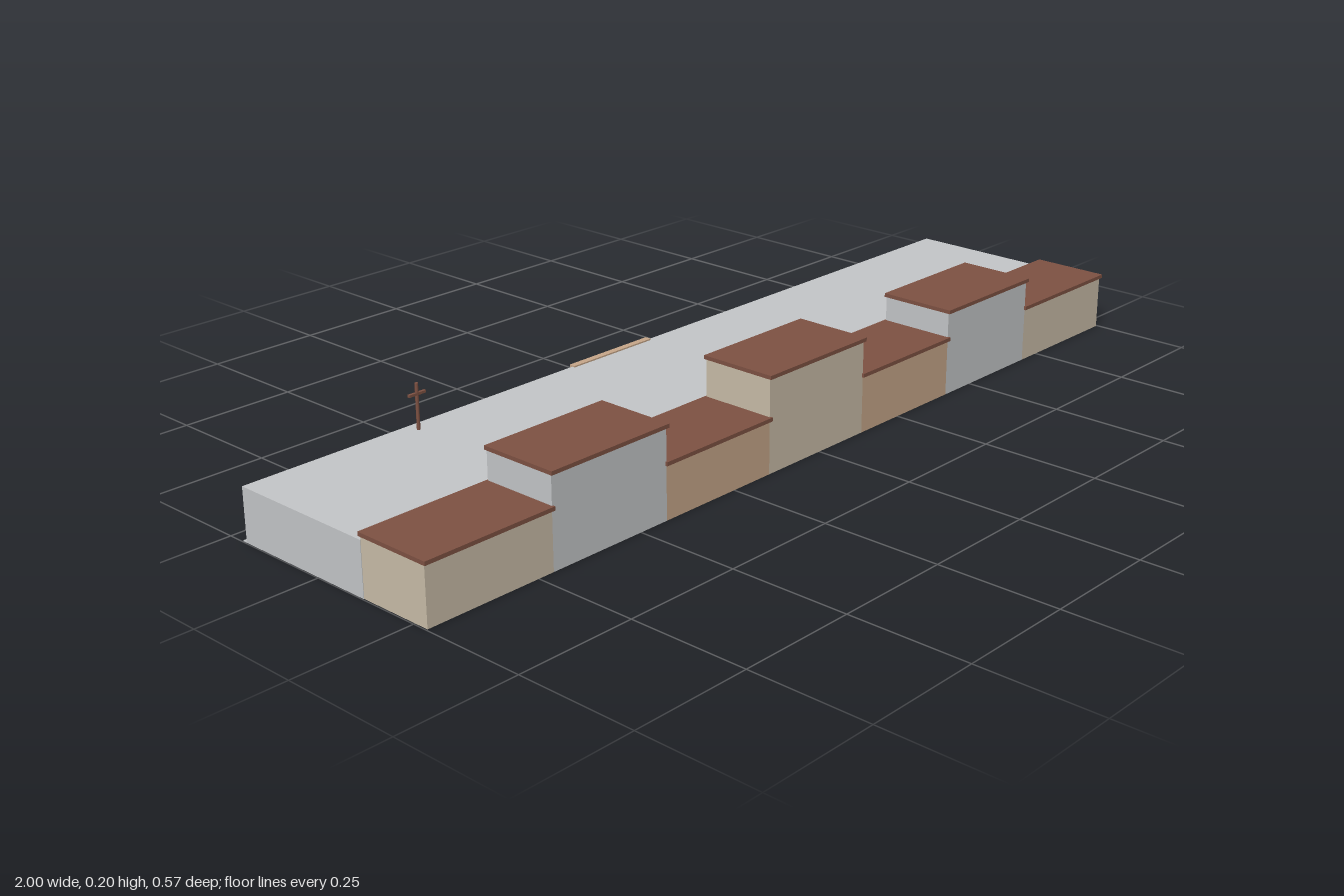
import * as THREE from 'three';

const mat = (name, color) => {
  const m = new THREE.MeshStandardMaterial({ color });
  m.name = name;
  return m;
};

export function createModel() {
  const grey = mat('grey plaster', 0xc5c7c9);
  const beige = mat('beige plaster', 0xcabea9);
  const ochre = mat('ochre plaster', 0xc8a88a);
  const brown = mat('brown tile and timber', 0x7f5243);
  const green = mat('green paint', 0x3f6b45);

  const model = new THREE.Group();
  model.name = 'courtyardBuilding';

  // box given by its minimum and maximum corners
  const box = (name, m, x0, x1, y0, y1, z0, z1, parent = model) => {
    const mesh = new THREE.Mesh(new THREE.BoxGeometry(x1 - x0, y1 - y0, z1 - z0), m);
    mesh.position.set((x0 + x1) / 2, (y0 + y1) / 2, (z0 + z1) / 2);
    mesh.name = name;
    parent.add(mesh);
    return mesh;
  };

  // long flat-roofed hall behind the houses
  box('groundPlate', grey, -0.998, 0.998, 0, 0.002, -0.215, 0.12);
  box('hallWalls', grey, -0.998, 0.995, 0.002, 0.082, -0.205, 0.12);
  box('hallRoof', grey, -0.998, 0.997, 0.082, 0.109, -0.205, 0.12);
  box('hallEndWall', ochre, 0.995, 0.997, 0.001, 0.082, -0.205, 0.12);

  // row of seven front houses: [left edge, right edge, top, wall colour, has back windows]
  const houses = [
    [-0.997, -0.715, 0.124, beige, false],
    [-0.715, -0.433, 0.190, grey, true],
    [-0.433, -0.150, 0.117, ochre, false],
    [-0.150, 0.132, 0.202, beige, true],
    [0.132, 0.415, 0.127, ochre, false],
    [0.415, 0.697, 0.187, grey, true],
    [0.697, 0.996, 0.124, beige, false],
  ];
  houses.forEach(([x0, x1, top, wall, windows], i) => {
    const house = new THREE.Group();
    house.name = 'house' + (i + 1);
    model.add(house);
    box('walls', wall, x0, x1, 0, top - 0.008, 0.12, 0.281, house);
    const over = 0.003;
    box('roofSlab', brown, Math.max(x0 - over, -1), Math.min(x1 + over, 1), top - 0.008, top, 0.117, 0.286, house);
    if (windows) {
      for (const side of [-1, 1]) {
        const cx = (x0 + x1) / 2 + side * 0.057;
        box('window', green, cx - 0.016, cx + 0.016, 0.109, 0.138, 0.118, 0.1205, house);
      }
    }
  });

  // gateway in the back wall with its two leaves open
  const gate = new THREE.Group();
  gate.name = 'gateway';
  model.add(gate);
  box('gatePost', beige, 0, 0.022, 0, 0.092, -0.215, -0.204, gate);
  box('gatePost', beige, -0.19, -0.168, 0, 0.092, -0.215, -0.204, gate);
  box('gateLintel', ochre, -0.195, 0.026, 0.092, 0.112, -0.212, -0.198, gate);
  box('gatePanel', green, -0.168, 0, 0.001, 0.06, -0.215, -0.213, gate);
  for (const x of [0, -0.167]) {
    box('gateLeaf', green, x - 0.001, x + 0.001, 0, 0.06, -0.285, -0.215, gate);
  }

  // roof pole with a crossarm
  const pole = new THREE.Mesh(new THREE.CylinderGeometry(0.0035, 0.0035, 0.093, 8), brown);
  pole.position.set(-0.62, 0.1555, -0.178);
  pole.name = 'roofPole';
  model.add(pole);
  box('poleCrossarm', brown, -0.64, -0.6, 0.178, 0.183, -0.181, -0.175);

  return model;
}
